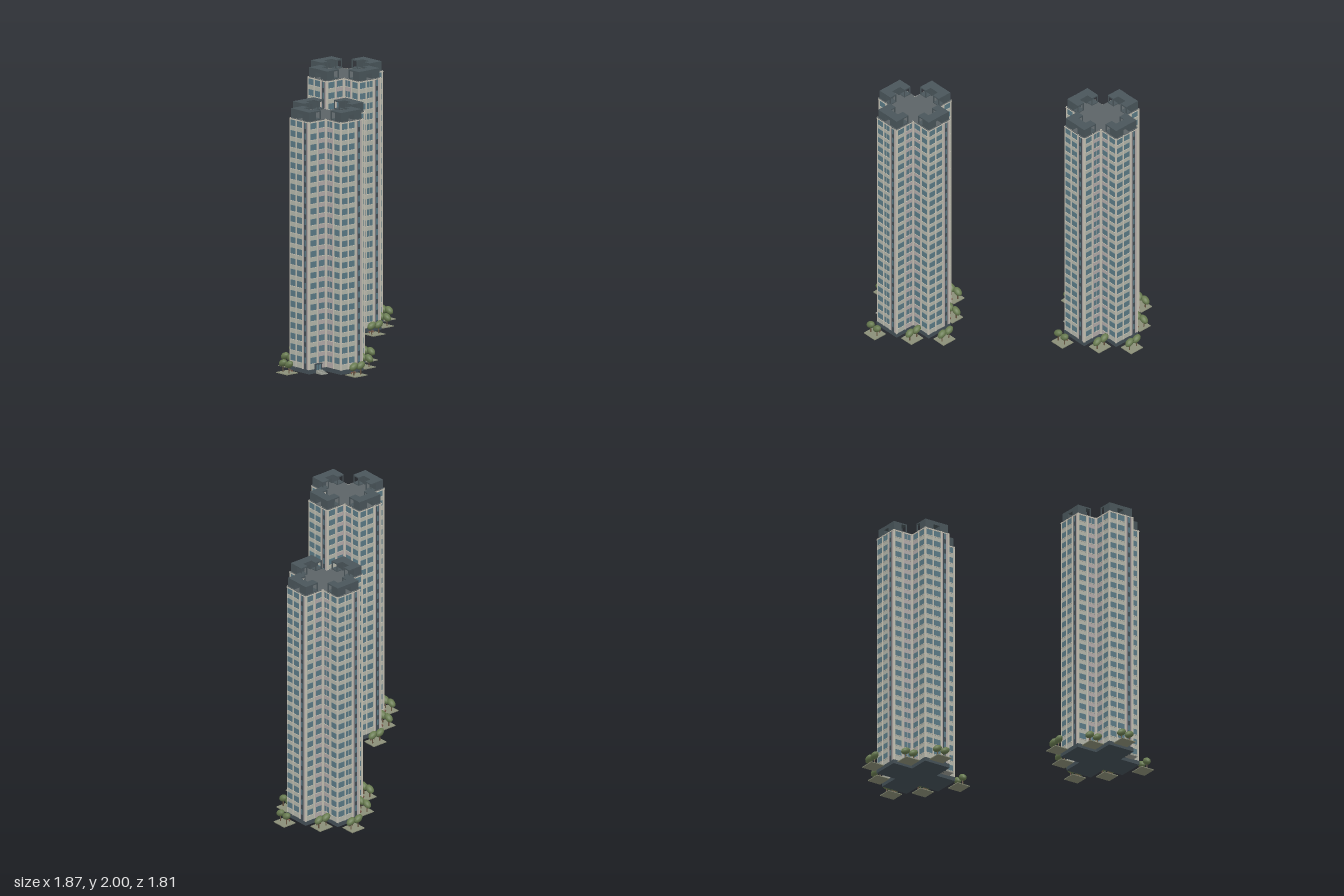
import * as THREE from 'three';
import { mergeGeometries } from 'three/addons/utils/BufferGeometryUtils.js';

const L = 0.276, W = 0.107, TOP = 1.93;       // arm length, arm half width, eaves height
const FLOORS = 23, PITCH = 0.0815, FIRST = 0.1;

const mat = (color) => new THREE.MeshStandardMaterial({ color });
const M = {
  wall: mat(0xb6b9ad), rib: mat(0xcac6b8), panel: mat(0xb5adab), glass: mat(0x5c7c88),
  dark: mat(0x455158), roof: mat(0x5c6366), crown: mat(0x4a565b), step: mat(0x9a9d94),
  paving: mat(0x8b8f78), leaf: mat(0x687b50), trunk: mat(0x6a5844), bench: mat(0x7c5a4c),
};

const box = (w, h, d, x, y, z) => new THREE.BoxGeometry(w, h, d).translate(x, y, z);

function addMesh(parent, name, geometries, material) {
  const mesh = new THREE.Mesh(mergeGeometries(geometries), material);
  mesh.name = name;
  parent.add(mesh);
  return mesh;
}

// Cross-shaped plan raised to a height
function cross(l, w, y0, y1) {
  const quarter = [[w, l], [w, w], [l, w], [l, -w], [w, -w], [w, -l]];
  const pts = [...quarter, ...quarter.map(([x, y]) => [-x, -y])];
  const shape = new THREE.Shape(pts.map(([x, y]) => new THREE.Vector2(x, y)));
  return new THREE.ExtrudeGeometry(shape, { depth: y1 - y0, bevelEnabled: false })
    .rotateX(-Math.PI / 2).translate(0, y0, 0);
}

// One arm, pointing to +z, with its end face and two side faces
function createArm(paired) {
  const arm = new THREE.Group();
  const glass = [], ribs = [], panels = [], strip = [], bands = [];
  const h = TOP - 0.03, mid = 0.03 + h / 2;

  // Full-height ribs, panels and the dark stair strip
  for (const u of [-0.104, -0.037, 0.038, 0.104]) ribs.push(box(0.007, h, 0.008, u, mid, L));
  panels.push(box(0.056, h, 0.002, 0.068, mid, L));
  strip.push(box(0.026, h, 0.006, 0.068, mid, L));
  for (const s of [-1, 1]) {
    for (const r of [0.114, 0.192, 0.272]) ribs.push(box(0.008, h, 0.007, s * W, mid, r));
    panels.push(box(0.002, h, 0.07, s * W, mid, 0.152));
  }

  // Windows floor by floor
  for (let i = 0; i < FLOORS; i++) {
    const y = FIRST + i * PITCH;
    glass.push(box(0.054, 0.045, 0.006, -0.071, y, L));
    glass.push(box(0.015, 0.045, 0.01, 0.068, y, L));
    if (paired) for (const s of [-1, 1]) glass.push(box(0.023, 0.045, 0.006, s * 0.0145, y, L));
    else glass.push(box(0.054, 0.045, 0.006, 0, y, L));
    for (const s of [-1, 1]) {
      glass.push(box(0.006, 0.045, 0.054, s * W, y, 0.233));
      if (paired) for (const t of [-1, 1]) glass.push(box(0.006, 0.045, 0.023, s * W, y, 0.152 + t * 0.0145));
      else glass.push(box(0.006, 0.045, 0.054, s * W, y, 0.152));
    }
    // Sills
    bands.push(box(0.058, 0.005, 0.009, -0.071, y - 0.025, L), box(0.058, 0.005, 0.009, 0, y - 0.025, L));
    for (const s of [-1, 1]) for (const r of [0.152, 0.233])
      bands.push(box(0.009, 0.005, 0.058, s * W, y - 0.025, r));
  }
  addMesh(arm, 'windows', glass, M.glass);
  addMesh(arm, 'ribs', ribs, M.rib);
  addMesh(arm, 'wallPanels', panels, M.panel);
  addMesh(arm, 'stairStrip', strip, M.dark);
  addMesh(arm, 'windowSills', bands, M.rib);

  // U-shaped rooftop frame: corner blocks, a bridge and open inner frames
  const crown = [box(0.06, 0.028, 0.068, 0, 1.986, 0.236)];
  for (const s of [-1, 1]) {
    crown.push(box(0.074, 0.074, 0.07, s * 0.065, 1.963, 0.236));
    crown.push(box(0.062, 0.01, 0.05, s * 0.071, 1.995, 0.178));
    crown.push(box(0.062, 0.007, 0.05, s * 0.071, 1.933, 0.178));
    for (const t of [-1, 1]) crown.push(box(0.007, 0.066, 0.007, s * 0.071 + t * 0.0275, 1.962, 0.1565));
  }
  addMesh(arm, 'rooftopFrame', crown, M.crown);
  return arm;
}

// Paved square with two leaning trees and a bench; outward side is +z
function createPlanter() {
  const planter = new THREE.Group();
  planter.name = 'planter';
  addMesh(planter, 'paving', [box(0.122, 0.006, 0.112, 0, 0.003, 0)], M.paving);
  const trunks = [], crowns = [];
  for (const s of [-1, 1]) {
    trunks.push(new THREE.CylinderGeometry(0.004, 0.005, 0.055, 6).translate(s * 0.035, 0.032, 0.01));
    crowns.push(new THREE.SphereGeometry(1, 12, 8).scale(0.04, 0.026, 0.027)
      .rotateZ(0.55).translate(s * 0.035, 0.073, 0.01));
  }
  addMesh(planter, 'treeTrunks', trunks, M.trunk);
  addMesh(planter, 'treeCrowns', crowns, M.leaf);
  addMesh(planter, 'bench', [
    box(0.042, 0.004, 0.012, 0, 0.018, -0.035),
    box(0.004, 0.012, 0.01, -0.016, 0.011, -0.035),
    box(0.004, 0.012, 0.01, 0.016, 0.011, -0.035),
  ], M.bench);
  return planter;
}

function createTower() {
  const tower = new THREE.Group();
  tower.name = 'tower';
  addMesh(tower, 'plinth', [cross(L + 0.004, W + 0.004, 0, 0.032)], M.dark);
  addMesh(tower, 'walls', [cross(L, W, 0.032, TOP - 0.008)], M.wall);
  addMesh(tower, 'coping', [cross(L + 0.004, W + 0.004, TOP - 0.012, TOP - 0.004)], M.rib);
  addMesh(tower, 'roof', [cross(L + 0.002, W + 0.002, TOP - 0.004, TOP)], M.roof);

  for (let i = 0; i < 4; i++) {
    const arm = createArm(i % 2 === 0);
    arm.name = ['frontArm', 'leftArm', 'backArm', 'rightArm'][i];
    arm.rotation.y = i * Math.PI / 2;
    tower.add(arm);
  }

  // Entrance with steps on the front of the right arm
  const entrance = new THREE.Group();
  entrance.name = 'entrance';
  entrance.position.set(-0.19, 0, W);
  addMesh(entrance, 'door', [box(0.048, 0.062, 0.012, 0, 0.035, 0.004)], M.glass);
  addMesh(entrance, 'doorFrame', [
    box(0.064, 0.007, 0.022, 0, 0.071, 0.009),
    ...[-0.029, 0, 0.029].map((x) => box(0.005, 0.07, 0.014, x, 0.035, 0.007)),
  ], M.dark);
  const steps = [];
  for (let i = 0; i < 4; i++) {
    const h = 0.024 - i * 0.006;
    steps.push(box(0.062, h, 0.02, 0, h / 2, 0.012 + i * 0.02));
  }
  addMesh(entrance, 'steps', steps, M.step);
  tower.add(entrance);

  // Planters: x, z, quarter turns
  const spots = [
    [0.03, -0.37, 2], [0.2, -0.2, 2], [-0.2, -0.205, 3], [-0.37, -0.035, 3],
    [0.367, 0.03, 1], [0.197, 0.2, 1], [-0.035, 0.367, 0],
  ];
  for (const [x, z, turns] of spots) {
    const planter = createPlanter();
    planter.position.set(x, 0, z);
    planter.rotation.y = turns * Math.PI / 2;
    tower.add(planter);
  }
  return tower;
}

export function createModel() {
  const model = new THREE.Group();
  model.name = 'apartmentTowers';
  for (const s of [-1, 1]) {
    const tower = createTower();
    tower.name = s < 0 ? 'frontTower' : 'backTower';
    tower.position.set(s * 0.511, 0, -s * 0.481);
    model.add(tower);
  }
  return model;
}
